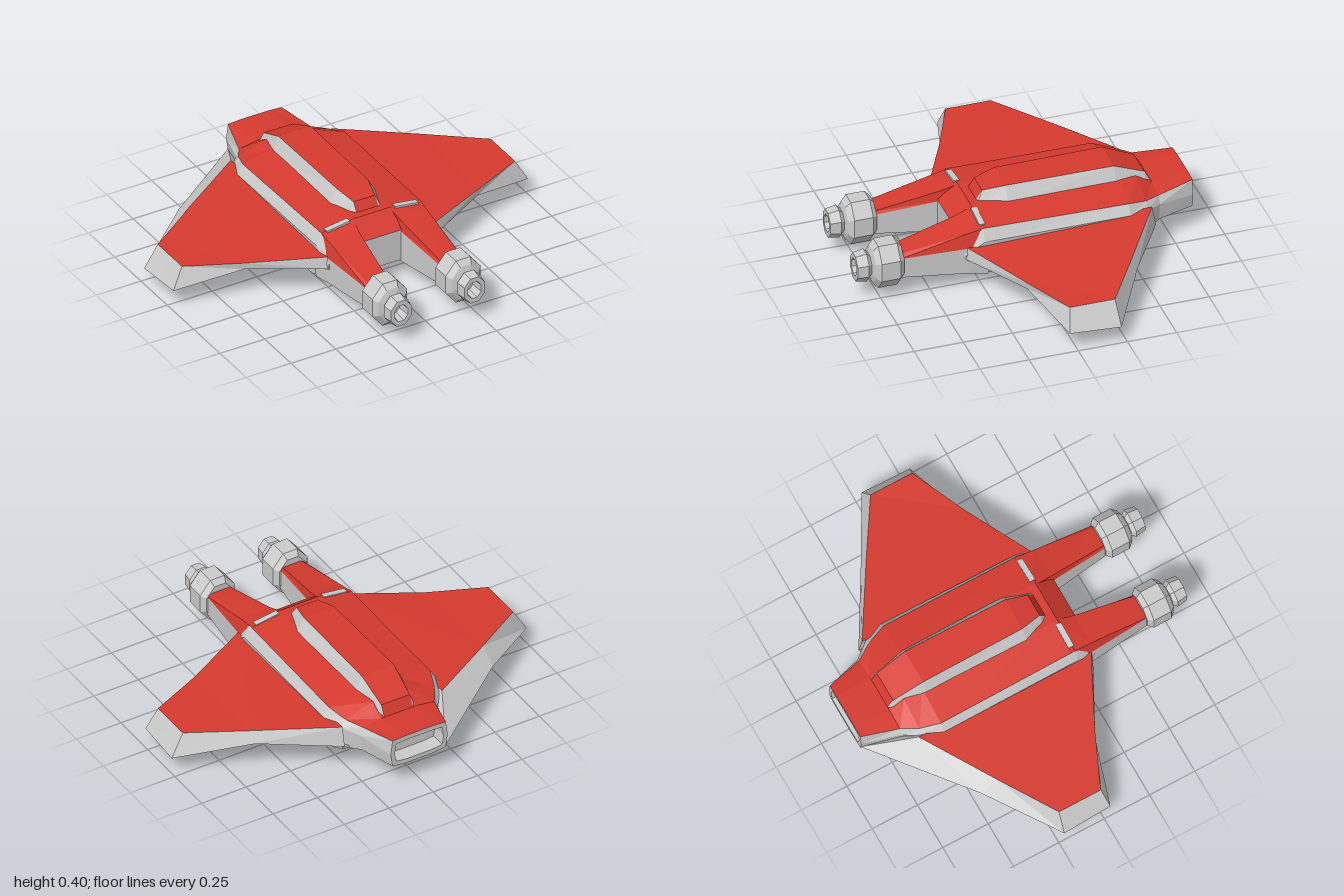
import * as THREE from 'three';

const grey = new THREE.MeshStandardMaterial({ color: 0xcccccc, flatShading: true });
const red = new THREE.MeshStandardMaterial({ color: 0xd63a2f, flatShading: true });

function facets(name, positions, material) {
  const g = new THREE.BufferGeometry();
  g.setAttribute('position', new THREE.Float32BufferAttribute(positions, 3));
  g.computeVertexNormals();
  const m = new THREE.Mesh(g, material);
  m.name = name;
  return m;
}

// Joins cross-sections with flat facets. Sections run counter-clockwise seen from
// the first one's outer side; redEdges lists the section edges that are painted.
function loft(name, sections, { redEdges = [], mirror = false, capStart = true, capEnd = true } = {}) {
  const painted = [], plain = [];
  const tri = (list, a, b, c) => {
    for (const [x, y, z] of mirror ? [a, c, b] : [a, b, c]) list.push(mirror ? -x : x, y, z);
  };
  const n = sections[0].length;
  for (let s = 0; s < sections.length - 1; s++) {
    const p = sections[s], q = sections[s + 1];
    for (let i = 0; i < n; i++) {
      const j = (i + 1) % n, list = redEdges.includes(i) ? painted : plain;
      tri(list, p[i], q[i], q[j]);
      tri(list, p[i], q[j], p[j]);
    }
  }
  const first = sections[0], last = sections[sections.length - 1];
  for (let i = 1; i < n - 1; i++) {
    if (capStart) tri(plain, first[0], first[i], first[i + 1]);
    if (capEnd) tri(plain, last[0], last[i + 1], last[i]);
  }
  const group = new THREE.Group();
  group.name = name;
  if (plain.length) group.add(facets(name + 'Trim', plain, grey));
  if (painted.length) group.add(facets(name + 'Panels', painted, red));
  return group;
}

// Section at depth z, optionally completed by its mirror image
const at = (z, pts) => pts.map(([x, y]) => [x, y, z]);
const both = (z, half) => at(z, [...half, ...half.map(([x, y]) => [-x, y]).reverse()]);

export function createModel() {
  const model = new THREE.Group();
  model.name = 'spacecraft';

  // Central hull with raised, bevelled deck and narrow tail
  const tailEnd = both(-0.87, [[0.08, 0.12], [0.15, 0.13], [0.16, 0.2], [0.15, 0.28], [0.08, 0.285]]);
  model.add(loft('hull', [
    both(0.34, [[0.12, 0.09], [0.28, 0.09], [0.3, 0.18], [0.28, 0.24], [0.1, 0.26]]),
    both(0.24, [[0.12, 0.07], [0.29, 0.08], [0.31, 0.25], [0.28, 0.31], [0.11, 0.335]]),
    both(-0.5, [[0.12, 0.07], [0.29, 0.1], [0.315, 0.25], [0.285, 0.3], [0.1, 0.335]]),
    both(-0.6, [[0.12, 0.1], [0.27, 0.12], [0.28, 0.24], [0.25, 0.275], [0.1, 0.325]]),
    both(-0.68, [[0.1, 0.12], [0.21, 0.13], [0.22, 0.22], [0.2, 0.26], [0.1, 0.275]]),
    tailEnd,
  ], { redEdges: [0, 3, 4, 5, 8, 9], capEnd: false }));

  // Sunken opening in the tail
  const inset = (z) => tailEnd.map(([x, y]) => [x * 0.86, 0.2 + (y - 0.2) * 0.7, z]);
  model.add(loft('tailRecess', [tailEnd, inset(-0.87), inset(-0.79)], { capStart: false }));

  // Spine on the deck
  const spine = (z, low, yLow, high, yHigh) => both(z, [[low, yLow], [high, yHigh]]);
  model.add(loft('spine', [
    spine(0.2, 0.08, 0.32, 0.06, 0.335),
    spine(0.17, 0.09, 0.32, 0.06, 0.38),
    spine(0.06, 0.13, 0.32, 0.085, 0.4),
    spine(-0.49, 0.13, 0.31, 0.09, 0.4),
    spine(-0.65, 0.11, 0.26, 0.08, 0.33),
    spine(-0.68, 0.1, 0.25, 0.08, 0.275),
  ], { redEdges: [1] }));

  for (const mirror of [false, true]) {
    const side = mirror ? 'right' : 'left';

    // Wing from tip to root; the right one has a lower sheet reaching the tail
    model.add(loft(side + 'Wing', [
      [[0.99, 0.1, 0.04], [1, 0.09, -0.22], [0.93, 0.21, -0.21], [0.93, 0.21, 0.02]],
      [[0.65, 0.17, 0.14], [0.65, 0.17, mirror ? -0.485 : -0.42], [0.65, 0.23, -0.39], [0.65, 0.207, 0.145]],
      [[0.28, 0.16, 0.34], mirror ? [0.15, 0.14, -0.87] : [0.28, 0.15, -0.64], [0.28, 0.255, -0.62], [0.28, 0.225, 0.33]],
    ], { redEdges: [2], mirror }));

    // Forward prong
    model.add(loft(side + 'Prong', [
      at(0.66, [[0.14, 0.11], [0.27, 0.11], [0.27, 0.215], [0.25, 0.23], [0.15, 0.23], [0.14, 0.215]]),
      at(0.33, [[0.105, 0.08], [0.295, 0.08], [0.295, 0.22], [0.275, 0.29], [0.115, 0.3], [0.105, 0.25]]),
      at(0.22, [[0.1, 0.07], [0.3, 0.06], [0.305, 0.225], [0.28, 0.312], [0.1, 0.335], [0.1, 0.25]]),
    ], { redEdges: [0, 2, 3, 4], mirror }));

    // Keel rail under the hull
    const rail = (z, inner, outer) => at(z, [[0.15, inner], [0.285, outer], [0.285, 0.14], [0.15, 0.14]]);
    model.add(loft(side + 'Rail', [
      rail(0.25, 0.065, 0.075), rail(0.16, 0, 0.04), rail(-0.42, 0.01, 0.05),
      rail(-0.55, 0.06, 0.09), rail(-0.63, 0.12, 0.13),
    ], { redEdges: [0], mirror }));

    // Cannon: faceted collar and hollow muzzle
    const profile = [[0, 0.64], [0.1, 0.64], [0.128, 0.665], [0.128, 0.76], [0.1, 0.785], [0.062, 0.795],
      [0.085, 0.815], [0.075, 0.87], [0.048, 0.87], [0.04, 0.8], [0, 0.8]];
    const cannon = new THREE.Mesh(
      new THREE.LatheGeometry(profile.map(([r, z]) => new THREE.Vector2(r, z)), 8)
        .rotateY(Math.PI / 8).rotateX(Math.PI / 2).scale(0.82, 1, 1),
      grey);
    cannon.name = side + 'Cannon';
    cannon.position.set(mirror ? -0.205 : 0.205, 0.175, 0);
    model.add(cannon);

    // Small vent at the front of the deck
    const vent = new THREE.Mesh(new THREE.BoxGeometry(0.13, 0.02, 0.03), grey);
    vent.name = side + 'Vent';
    vent.position.set(mirror ? -0.19 : 0.19, 0.318, 0.235);
    vent.rotation.z = mirror ? 0.14 : -0.14;
    model.add(vent);
  }
  return model;
}
